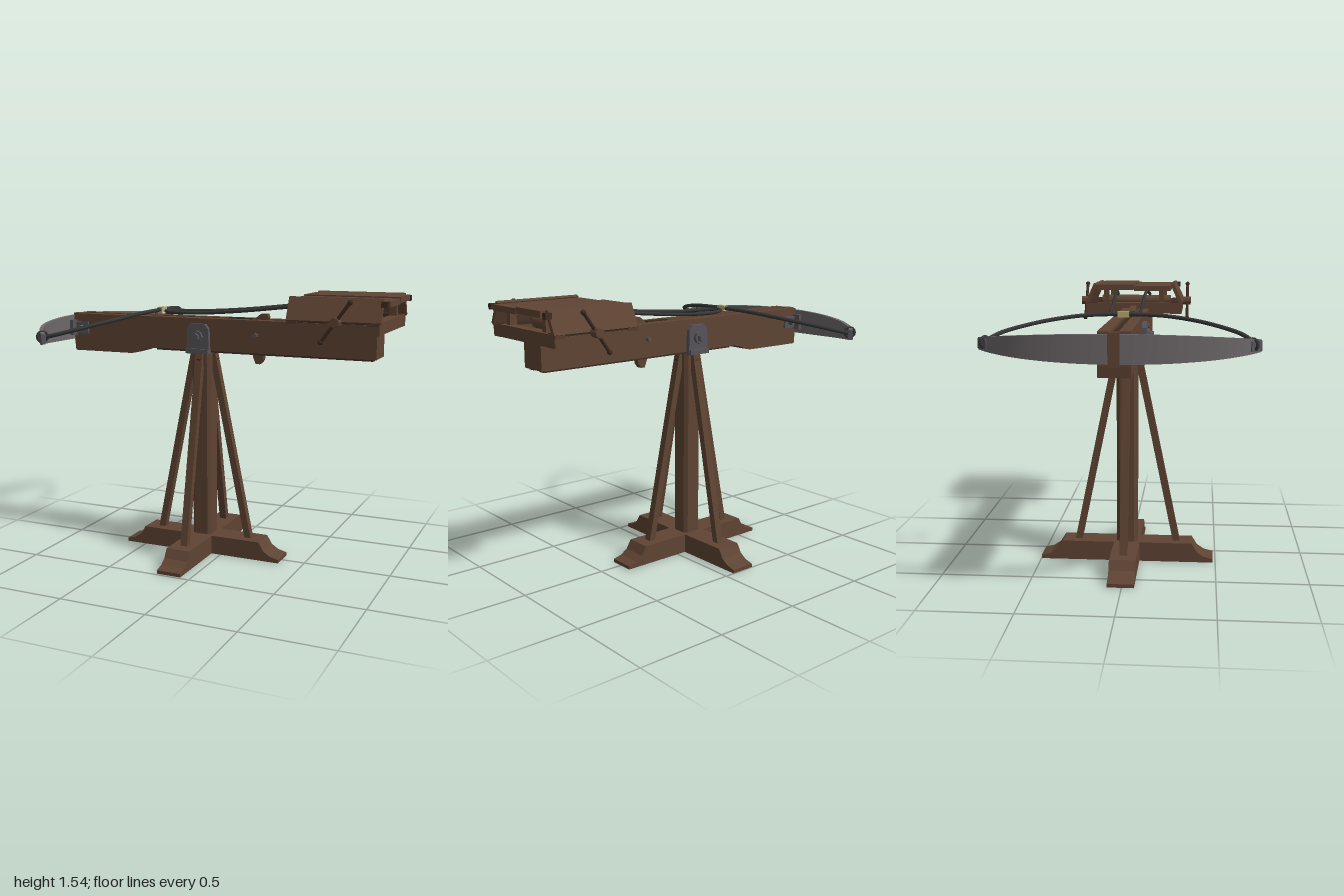
import * as THREE from 'three';

const material = (name, color) => {
  const m = new THREE.MeshStandardMaterial({ color });
  m.name = name;
  return m;
};

export function createModel() {
  const wood = material('wood', 0x5f4433);
  const darkWood = material('darkWood', 0x3e2b21);
  const steel = material('steel', 0x6e686a);
  const iron = material('iron', 0x56545a);
  const rope = material('rope', 0x363636);
  const twine = material('twine', 0xb8aa72);

  const model = new THREE.Group();
  model.name = 'mountedBoltThrower';
  const V = (x, y, z) => new THREE.Vector3(x, y, z);

  const group = (name, x = 0, y = 0, z = 0) => {
    const g = new THREE.Group();
    g.name = name;
    g.position.set(x, y, z);
    model.add(g);
    return g;
  };
  const add = (parent, name, geo, mat, x = 0, y = 0, z = 0) => {
    const m = new THREE.Mesh(geo, mat);
    m.name = name;
    m.position.set(x, y, z);
    parent.add(m);
    return m;
  };
  // Box given by its lower and upper corners
  const box = (parent, name, mat, x0, x1, y0, y1, z0, z1) =>
    add(parent, name, new THREE.BoxGeometry(x1 - x0, y1 - y0, z1 - z0), mat,
      (x0 + x1) / 2, (y0 + y1) / 2, (z0 + z1) / 2);
  // Straight member between two points
  const bar = (parent, name, mat, a, b, r, sides) => {
    const m = add(parent, name, new THREE.CylinderGeometry(r, r, a.distanceTo(b), sides).toNonIndexed(), mat);
    if (sides <= 8) m.geometry.computeVertexNormals();
    m.position.copy(a).add(b).multiplyScalar(0.5);
    m.quaternion.setFromUnitVectors(V(0, 1, 0), b.clone().sub(a).normalize());
    return m;
  };
  // Outline in x and y, extruded evenly about z = 0
  const plate = (points, depth) => {
    const g = new THREE.ExtrudeGeometry(new THREE.Shape(points.map(p => new THREE.Vector2(...p))),
      { depth, bevelEnabled: false });
    return g.translate(0, 0, -depth / 2);
  };
  const cord = (parent, name, points, r) =>
    add(parent, name, new THREE.TubeGeometry(new THREE.CatmullRomCurve3(points), 64, r, 8), rope);

  // Crossed feet with scooped ends
  const stand = group('stand', -0.13, 0, -0.006);
  const half = [[0.492, 0], [0.492, 0.02], [0.44, 0.033], [0.4, 0.06], [0.385, 0.085], [0.37, 0.11]];
  const outline = [...half, ...half.map(([x, y]) => [-x, y]).reverse()];
  add(stand, 'footBeam', plate(outline, 0.145), wood);
  add(stand, 'crossFootBeam', plate(outline, 0.145), wood, 0, 0, 0).rotation.y = Math.PI / 2;

  // Chamfered post, with raised corner strips
  const a = 0.058, c = 0.04;
  const post = plate([[a, -c], [a, c], [c, a], [-c, a], [-a, c], [-a, -c], [-c, -a], [c, -a]], 1.1);
  add(stand, 'post', post.rotateX(Math.PI / 2), wood, 0, 0.655, 0);

  // Four leaning braces with pegs at the top
  for (let i = 0; i < 4; i++) {
    const brace = new THREE.Group();
    brace.name = 'brace';
    brace.rotation.y = i * Math.PI / 2;
    stand.add(brace);
    const p = V(0.285, 0.09, 0), q = V(0.058, 1.19, 0);
    const beam = add(brace, 'braceBeam', new THREE.BoxGeometry(0.038, p.distanceTo(q), 0.042), wood);
    beam.position.copy(p).add(q).multiplyScalar(0.5);
    beam.quaternion.setFromUnitVectors(V(0, 1, 0), q.clone().sub(p).normalize());
    box(brace, 'bracePeg', darkWood, 0.06, 0.085, 1.135, 1.16, -0.012, 0.012);
  }

  // Iron yoke holding the stock
  const yoke = group('yoke', -0.125, 0, -0.003);
  box(yoke, 'yokeBase', iron, -0.068, 0.068, 1.195, 1.222, -0.118, 0.118);
  const cheek = [[-0.07, 1.205], [0.07, 1.205], [0.066, 1.335], [0.045, 1.362], [-0.045, 1.362], [-0.066, 1.335]];
  for (const s of [-1, 1]) {
    add(yoke, 'yokeCheek', plate(cheek, 0.024), iron, 0, 0, s * 0.093);
    bar(yoke, 'yokeWasher', iron, V(0, 1.29, s * 0.1), V(0, 1.29, s * 0.122), 0.036, 8);
    bar(yoke, 'yokeBolt', iron, V(0, 1.29, s * 0.1), V(0, 1.29, s * 0.142), 0.022, 6);
  }

  // Stock with a bolt groove along the top
  const stock = group('stock', 0, 0, -0.003);
  add(stock, 'stockBody', plate([[-0.95, 1.225], [-0.945, 1.172], [-0.56, 1.172], [-0.52, 1.18], [-0.47, 1.202],
    [-0.42, 1.21], [0.9, 1.21], [0.9, 1.372], [-0.95, 1.372]], 0.16), wood);
  for (const s of [-1, 1]) {
    box(stock, 'grooveRail', wood, -0.95, 0.9, 1.37, 1.392, s > 0 ? 0.022 : -0.08, s > 0 ? 0.08 : -0.022);
    box(stock, 'lowerRail', darkWood, -0.4, 0.88, 1.2, 1.212, s > 0 ? 0.03 : -0.07, s > 0 ? 0.07 : -0.03);
    // Bow fixing plates on the sides
    box(stock, 'bowBracket', iron, -0.94, -0.85, 1.275, 1.345, s > 0 ? 0.078 : -0.092, s > 0 ? 0.092 : -0.078);
    box(stock, 'bowClamp', iron, -0.955, -0.93, 1.265, 1.355, s > 0 ? 0.078 : -0.13, s > 0 ? 0.13 : -0.078);
    bar(stock, 'bracketBolt', iron, V(-0.89, 1.31, s * 0.08), V(-0.89, 1.31, s * 0.122), 0.016, 6);
    bar(stock, 'triggerBolt', iron, V(0.22, 1.31, s * 0.07), V(0.22, 1.31, s * 0.1), 0.014, 6);
  }
  box(stock, 'grooveFloor', darkWood, -0.95, 0.9, 1.37, 1.374, -0.022, 0.022);
  box(stock, 'nose', wood, -0.986, -0.94, 1.225, 1.39, -0.028, 0.028);

  // Trigger lever passing through the stock
  add(stock, 'trigger', plate([[0.195, 1.142], [0.22, 1.142], [0.238, 1.165], [0.245, 1.21], [0.255, 1.38], [0.268, 1.405],
    [0.262, 1.424], [0.225, 1.424], [0.2, 1.405], [0.18, 1.39], [0.18, 1.18]], 0.036), wood);
  box(stock, 'triggerHousing', darkWood, 0.03, 0.17, 1.37, 1.398, -0.015, 0.015);

  // Steel bow: a bar swept along a curve, tapering toward the tips
  const bow = group('bow', 0, 1.31, 0);
  const arm = [[-0.79, 0.65], [-0.83, 0.595], [-0.89, 0.48], [-0.93, 0.35], [-0.956, 0.2]];
  const bowCurve = new THREE.CatmullRomCurve3([
    V(-0.755, 0, -0.685), ...arm.map(([x, z]) => V(x, 0, -z)), V(-0.966, 0, 0),
    ...arm.map(([x, z]) => V(x, 0, z)).reverse(), V(-0.755, 0, 0.685)]);
  const limb = new THREE.BoxGeometry(0.02, 1, 1, 1, 1, 48);
  const pos = limb.attributes.position;
  for (let i = 0; i < pos.count; i++) {
    const t = THREE.MathUtils.clamp(pos.getZ(i) + 0.5, 0, 1);
    const p = bowCurve.getPointAt(t), d = bowCurve.getTangentAt(t);
    const k = Math.abs(2 * t - 1), off = pos.getX(i);
    const height = 0.142 - 0.082 * k * k;
    pos.setXYZ(i, p.x + d.z * off, pos.getY(i) * height, p.z - d.x * off);
  }
  limb.computeVertexNormals();
  add(bow, 'bowLimbs', limb, steel);
  for (const s of [-1, 1]) {
    const tip = add(bow, 'bowTip', new THREE.BoxGeometry(0.026, 0.05, 0.075), iron, -0.78, 0, s * 0.66);
    tip.rotation.y = s * 0.8;
    const knot = add(bow, 'stringKnot', new THREE.TorusGeometry(0.026, 0.009, 6, 14), rope, -0.785, 0.008, s * 0.652);
    knot.rotation.y = s * 0.8;
  }

  // Bowstring, its binding and the drawing rope
  const ropes = group('ropes');
  const side = [[-0.775, 1.315, 0.655], [-0.69, 1.335, 0.635], [-0.62, 1.355, 0.59], [-0.53, 1.382, 0.48],
    [-0.47, 1.402, 0.37], [-0.422, 1.42, 0.22], [-0.402, 1.426, 0.08]];
  cord(ropes, 'bowstring', [...side.map(([x, y, z]) => V(x, y, -z)), V(-0.4, 1.427, -0.005),
    ...side.map(([x, y, z]) => V(x, y, z)).reverse()], 0.011);
  box(ropes, 'stringBinding', twine, -0.416, -0.386, 1.411, 1.442, -0.035, 0.025);
  cord(ropes, 'drawRope', [V(0.72, 1.465, -0.135), V(0.6, 1.492, -0.13), V(0.46, 1.478, -0.125), V(0.1, 1.438, -0.108),
    V(-0.15, 1.42, -0.097), V(-0.3, 1.418, -0.075), V(-0.36, 1.42, -0.035), V(-0.375, 1.42, -0.005),
    V(-0.36, 1.42, 0.025), V(-0.3, 1.418, 0.052), V(-0.15, 1.42, 0.065), V(0.1, 1.438, 0.062),
    V(0.46, 1.478, 0.055), V(0.6, 1.492, 0.06), V(0.72, 1.465, 0.07)], 0.01);

  // Winch housing: open frame, sloping sides and plank roof
  const winch = group('winch', 0, 0, -0.016);
  for (const x of [0.465, 0.9])
    add(winch, 'endBeam', plate([[-0.285, 1.36], [0.285, 1.36], [0.297, 1.425], [-0.297, 1.425]], 0.06)
      .rotateY(Math.PI / 2), wood, x + 0.03, 0, 0);
  for (const s of [-1, 1]) {
    const range = (u, v) => s > 0 ? [u, v] : [-v, -u];
    box(winch, 'sideBeam', wood, 0.467, 0.958, 1.358, 1.412, ...range(0.225, 0.293));
    box(winch, 'sideLedge', darkWood, 0.467, 0.955, 1.412, 1.428, ...range(0.225, 0.285));
    const panel = add(winch, 'sidePanel', new THREE.BoxGeometry(0.5, 0.13, 0.022), wood, 0.717, 1.479, s * 0.264);
    panel.rotation.x = -s * 0.43;
    for (const x of [0.49, 0.9])
      box(winch, 'roofPost', wood, x, x + 0.04, 1.42, 1.505, ...range(0.155, 0.185));
    box(winch, 'cornerPeg', darkWood, 0.96, 0.995, 1.5, 1.53, ...range(0.245, 0.275));
    box(winch, 'roofPlank', wood, 0.463, 0.995, s > 0 ? 1.498 : 1.504, s > 0 ? 1.529 : 1.536, ...range(0.002, 0.226));

    // Hand bars on the axle ends
    const handle = new THREE.Group();
    handle.name = 'windlassHandle';
    handle.position.set(0.74, 1.422, s * 0.325);
    handle.rotation.z = -0.63;
    winch.add(handle);
    bar(handle, 'handleBar', darkWood, V(0, -0.13, 0), V(0, 0.13, 0), 0.009, 10);
    for (const y of [-0.128, 0.128])
      add(handle, 'handleKnob', new THREE.SphereGeometry(0.014, 10, 8), darkWood, 0, y, 0);
    bar(handle, 'handleHub', wood, V(0, 0, -0.03), V(0, 0, 0.022), 0.026, 8);
  }
  bar(winch, 'axle', darkWood, V(0.74, 1.422, -0.34), V(0.74, 1.422, 0.34), 0.014, 12);
  bar(winch, 'drum', wood, V(0.74, 1.422, -0.22), V(0.74, 1.422, 0.22), 0.036, 12);

  return model;
}
